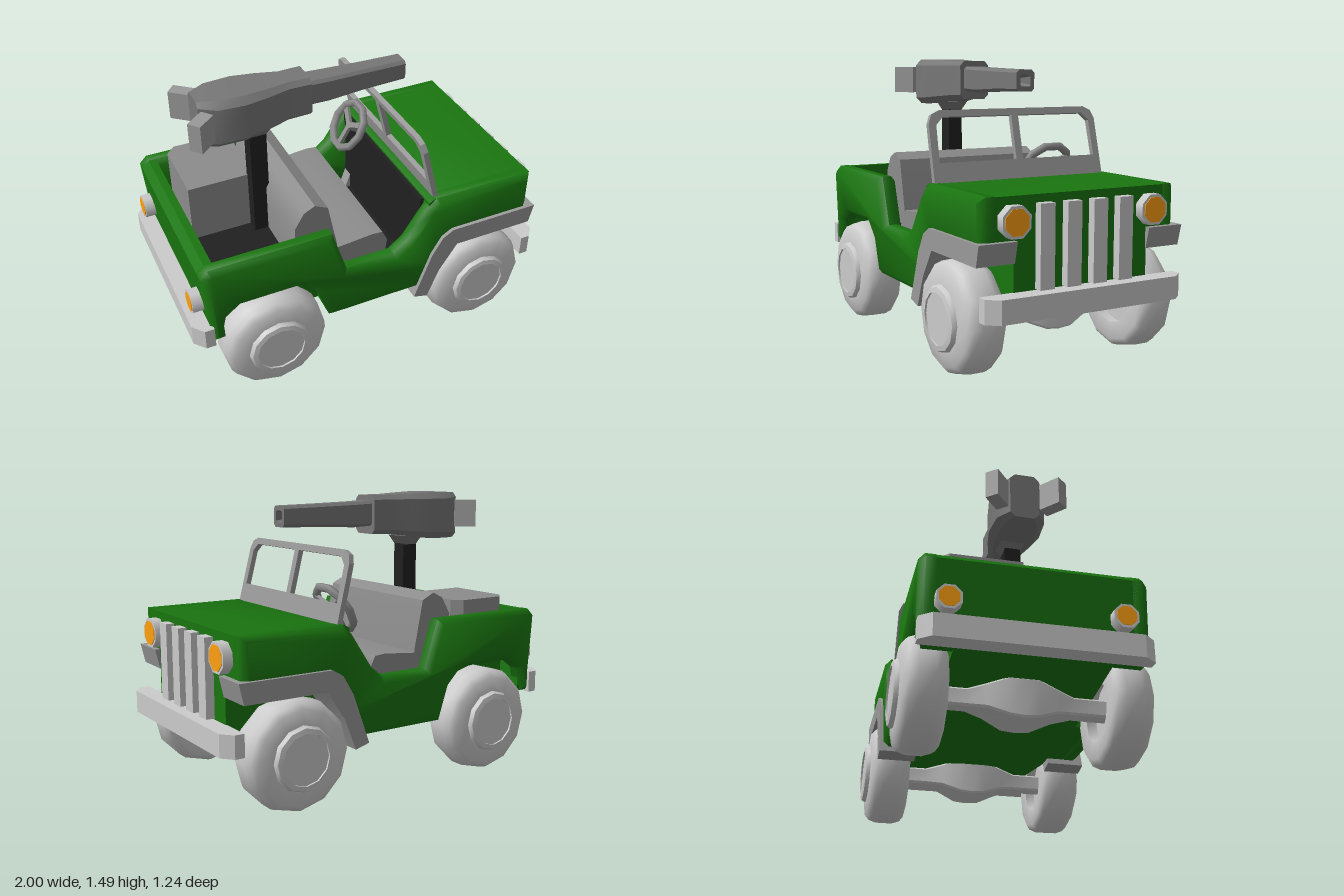
import * as THREE from 'three';
import { toCreasedNormals } from 'three/addons/utils/BufferGeometryUtils.js';

const paint = (color) => new THREE.MeshStandardMaterial({ color });
const GREY = paint(0xcccccc), GREEN = paint(0x1a7510), AMBER = paint(0xffa010);
const DARK = paint(0x202020), GUN = paint(0x777777), SEAT = paint(0x8c8c8c), TRIM = paint(0x999999);

export function createModel() {
  const model = new THREE.Group();

  const add = (name, geometry, material, x = 0, y = 0, z = 0, parent = model) => {
    const mesh = new THREE.Mesh(geometry, material);
    mesh.name = name;
    mesh.position.set(x, y, z);
    parent.add(mesh);
    return mesh;
  };
  // box given by its limits
  const box = (name, material, [x0, x1], [y0, y1], [z0, z1]) =>
    add(name, new THREE.BoxGeometry(x1 - x0, y1 - y0, z1 - z0), material,
      (x0 + x1) / 2, (y0 + y1) / 2, (z0 + z1) / 2);
  // side profile (x, y) extruded across z0..z1
  const slab = (name, material, points, z0, z1, bevel = 0, crease = 0.6) => {
    const shape = new THREE.Shape(points.map(([x, y]) => new THREE.Vector2(x, y)));
    const geo = new THREE.ExtrudeGeometry(shape, {
      depth: z1 - z0 - 2 * bevel, bevelEnabled: bevel > 0, bevelSize: bevel,
      bevelThickness: bevel, bevelOffset: -bevel, bevelSegments: 1,
    });
    return add(name, toCreasedNormals(geo, crease), material, 0, 0, z0 + bevel);
  };
  // chamfered rectangles [x, halfWidth, low, high, chamfer] joined along x
  const loft = (sections) => {
    const pos = [], idx = [], n = 8;
    sections.forEach(([x, w, lo, hi, c]) => {
      const ring = [[w - c, hi], [w, hi - c], [w, lo + c], [w - c, lo],
        [c - w, lo], [-w, lo + c], [-w, hi - c], [c - w, hi]];
      ring.forEach(([z, y]) => pos.push(x, y, z));
    });
    const last = (sections.length - 1) * n;
    for (let i = 0; i < last; i += n) {
      for (let j = 0; j < n; j++) {
        const k = (j + 1) % n;
        idx.push(i + j, i + k, i + n + j, i + k, i + n + k, i + n + j);
      }
    }
    for (let j = 1; j < n - 1; j++) idx.push(0, j + 1, j, last, last + j, last + j + 1);
    const geo = new THREE.BufferGeometry();
    geo.setAttribute('position', new THREE.Float32BufferAttribute(pos, 3));
    geo.setIndex(idx);
    return toCreasedNormals(geo, 0.6);
  };

  // body sides with door cutouts and wheel arches
  const side = [[-0.905, 0.4], [-0.86, 0.4], [-0.83, 0.53], [-0.75, 0.59], [-0.42, 0.59], [-0.33, 0.5],
    [-0.27, 0.32], [0.3, 0.32], [0.35, 0.44], [0.45, 0.6], [0.905, 0.6], [0.905, 0.89], [0.34, 0.89],
    [0.29, 0.84], [0.23, 0.75], [0.17, 0.66], [0.1, 0.605], [-0.17, 0.605], [-0.25, 0.86],
    [-0.9, 0.86], [-0.94, 0.82]];
  slab('leftBodySide', GREEN, side, 0.44, 0.55, 0.03, 0.9);
  slab('rightBodySide', GREEN, side, -0.55, -0.44, 0.03, 0.9);

  // hood, tailboard and underbody
  slab('hood', GREEN, [[0.3, 0.6], [0.905, 0.6], [0.905, 0.888], [0.33, 0.888], [0.3, 0.87]], -0.52, 0.52);
  slab('tailboard', GREEN, [[-0.905, 0.4], [-0.84, 0.4], [-0.86, 0.858], [-0.9, 0.858], [-0.94, 0.82]], -0.52, 0.52);
  slab('underbody', GREEN, [[-0.9, 0.4], [-0.3, 0.32], [0.3, 0.32], [0.905, 0.41], [0.905, 0.7], [0.3, 0.7],
    [0.3, 0.37], [-0.25, 0.37], [-0.25, 0.585], [-0.9, 0.585]], -0.375, 0.375);
  box('sillFloor', GREEN, [-0.27, 0.3], [0.322, 0.37], [-0.46, 0.46]);

  // interior
  box('cabinFloor', DARK, [-0.27, 0.3], [0.37, 0.38], [-0.455, 0.455]);
  box('rearDeck', DARK, [-0.87, -0.25], [0.575, 0.605], [-0.46, 0.46]);
  box('dashboard', DARK, [0.28, 0.3], [0.37, 0.86], [-0.46, 0.46]);
  slab('seatBack', SEAT, [[-0.41, 0.6], [-0.17, 0.6], [-0.18, 0.7], [-0.23, 0.95], [-0.3, 0.985],
    [-0.36, 0.955], [-0.41, 0.87]], -0.425, 0.425);
  slab('seatCushion', SEAT, [[-0.25, 0.38], [0.08, 0.38], [0.11, 0.63], [0.08, 0.69], [0.02, 0.695],
    [-0.2, 0.675]], -0.43, 0.43);
  const crate = slab('cargoBox', SEAT, [[-0.81, -0.39], [-0.76, -0.44], [-0.5, -0.44], [-0.45, -0.39],
    [-0.45, -0.03], [-0.81, -0.03]], 0, 0.33);
  crate.rotation.x = Math.PI / 2;
  crate.position.y = 0.93;

  // windshield: rounded frame with two openings
  const frame = new THREE.Shape([[-0.5, 0], [0.5, 0], [0.495, 0.3], [0.475, 0.345], [0.43, 0.365],
    [-0.43, 0.365], [-0.475, 0.345], [-0.495, 0.3]].map((p) => new THREE.Vector2(...p)));
  for (const s of [-1, 1]) {
    frame.holes.push(new THREE.Path([[0.02, 0.1], [0.46, 0.1], [0.455, 0.29], [0.415, 0.33], [0.02, 0.33]]
      .map(([x, y]) => new THREE.Vector2(s * x, y))));
  }
  const screen = new THREE.ExtrudeGeometry(frame, { depth: 0.028, bevelEnabled: false });
  screen.translate(0, 0, -0.014).rotateY(Math.PI / 2);
  add('windshieldFrame', screen, TRIM, 0.345, 0.885).rotation.z = 0.245;

  // steering wheel with spokes and column
  const steering = new THREE.Group();
  steering.name = 'steering';
  steering.position.set(0.2, 0.925, -0.24);
  steering.rotation.z = -0.56;
  model.add(steering);
  add('steeringRim', new THREE.TorusGeometry(0.135, 0.023, 5, 10).rotateY(Math.PI / 2), SEAT, 0, 0, 0, steering);
  add('steeringColumn', new THREE.CylinderGeometry(0.025, 0.025, 0.2, 6).rotateZ(Math.PI / 2), SEAT, 0.1, 0, 0, steering);
  for (let i = 0; i < 3; i++) {
    const spoke = new THREE.BoxGeometry(0.02, 0.13, 0.03).translate(0, 0.065, 0);
    add('steeringSpoke', spoke, SEAT, 0.01, 0, 0, steering).rotation.x = Math.PI + i * Math.PI * 2 / 3;
  }

  // grille bars
  for (const z of [-0.22, -0.073, 0.073, 0.22]) {
    box('grilleBar', GREY, [0.89, 0.95], [0.45, 0.85], [z - 0.039, z + 0.039]);
  }

  // bumpers with chamfered ends
  const bumper = (name, d, y) => {
    const shape = [[0.9, -0.55], [0.95, -0.55], [1, -0.49], [1, 0.49], [0.95, 0.55], [0.9, 0.55]];
    const pts = shape.map(([x, z]) => [d * x, z]);
    const mesh = slab(name, GREY, pts, 0, 0.115);
    mesh.rotation.x = Math.PI / 2;
    mesh.position.y = y;
  };
  bumper('frontBumper', 1, 0.445);
  bumper('rearBumper', -1, 0.505);

  // wheel outline: radius, distance across the tread
  const disc = (r, w, n = 8) => new THREE.CylinderGeometry(r, r, w, n).rotateY(Math.PI / n).rotateZ(Math.PI / 2);
  const tyre = [[0, -0.05], [0.15, -0.05], [0.15, -0.1], [0.24, -0.105], [0.268, -0.085], [0.282, -0.045],
    [0.282, 0.035], [0.268, 0.075], [0.24, 0.1], [0.165, 0.108], [0.155, 0.13], [0.13, 0.135], [0.13, 0.125],
    [0, 0.125]].map((p) => new THREE.Vector2(...p));
  const tyreGeo = toCreasedNormals(new THREE.LatheGeometry(tyre, 12).rotateX(Math.PI / 2), 0.75);

  const fender = [[0.215, 0.29], [0.295, 0.268], [0.36, 0.43], [0.46, 0.58], [0.91, 0.58], [0.935, 0.685],
    [0.43, 0.685], [0.37, 0.65], [0.31, 0.55]];

  for (const s of [1, -1]) {
    const tag = s > 0 ? 'left' : 'right';
    slab(tag + 'Fender', TRIM, fender, s > 0 ? 0.37 : -0.57, s > 0 ? 0.57 : -0.37);
    for (const [end, x] of [['Front', 0.61], ['Rear', -0.58]]) {
      add(tag + end + 'Wheel', tyreGeo, GREY, x, 0.284, s * 0.485).rotation.y = s > 0 ? 0 : Math.PI;
    }
    add(tag + 'HeadlightRim', disc(0.08, 0.06), GREY, 0.925, 0.775, s * 0.385);
    add(tag + 'HeadlightLens', disc(0.066, 0.06), AMBER, 0.929, 0.775, s * 0.385);
    add(tag + 'TailLightRim', disc(0.065, 0.065), GREY, -0.945, 0.605, s * 0.415);
    add(tag + 'TailLightLens', disc(0.052, 0.065), AMBER, -0.949, 0.605, s * 0.415);
    // angled grip behind the gun
    add(tag + 'GunGrip', new THREE.BoxGeometry(0.12, 0.15, 0.07), TRIM, -0.755, 1.375, s * 0.145)
      .rotation.y = s * 0.7;
  }

  // axles with a dropped differential
  for (const [name, x] of [['frontAxle', 0.61], ['rearAxle', -0.58]]) {
    const geo = loft([[-0.44, 0.045, 0.24, 0.33, 0.01], [-0.26, 0.045, 0.24, 0.33, 0.01],
      [-0.17, 0.08, 0.225, 0.35, 0.01], [-0.07, 0.11, 0.185, 0.38, 0.01], [0, 0.11, 0.178, 0.38, 0.01],
      [0.07, 0.11, 0.185, 0.38, 0.01], [0.17, 0.08, 0.225, 0.35, 0.01], [0.26, 0.045, 0.24, 0.33, 0.01],
      [0.44, 0.045, 0.24, 0.33, 0.01]]);
    add(name, geo.rotateY(Math.PI / 2), GREY, x);
  }

  // gun on its post
  box('gunPost', DARK, [-0.485, -0.395], [0.6, 1.23], [-0.042, 0.042]);
  add('gunMount', new THREE.CylinderGeometry(0.095, 0.06, 0.05, 4).rotateY(Math.PI / 4), GUN, -0.44, 1.23);
  add('gunBody', loft([[-0.745, 0.075, 1.235, 1.49, 0.025], [-0.66, 0.125, 1.235, 1.495, 0.035],
    [-0.52, 0.135, 1.24, 1.495, 0.035], [-0.4, 0.115, 1.255, 1.49, 0.03], [-0.28, 0.085, 1.27, 1.485, 0.025],
    [-0.16, 0.088, 1.275, 1.485, 0.025]]), GUN);
  add('gunBarrel', loft([[-0.17, 0.065, 1.32, 1.455, 0.015], [-0.05, 0.062, 1.315, 1.45, 0.015],
    [0.15, 0.055, 1.325, 1.445, 0.015], [0.385, 0.052, 1.33, 1.44, 0.015], [0.385, 0.03, 1.355, 1.415, 0.008],
    [0.3, 0.016, 1.37, 1.4, 0.004]]), GUN);

  return model;
}
